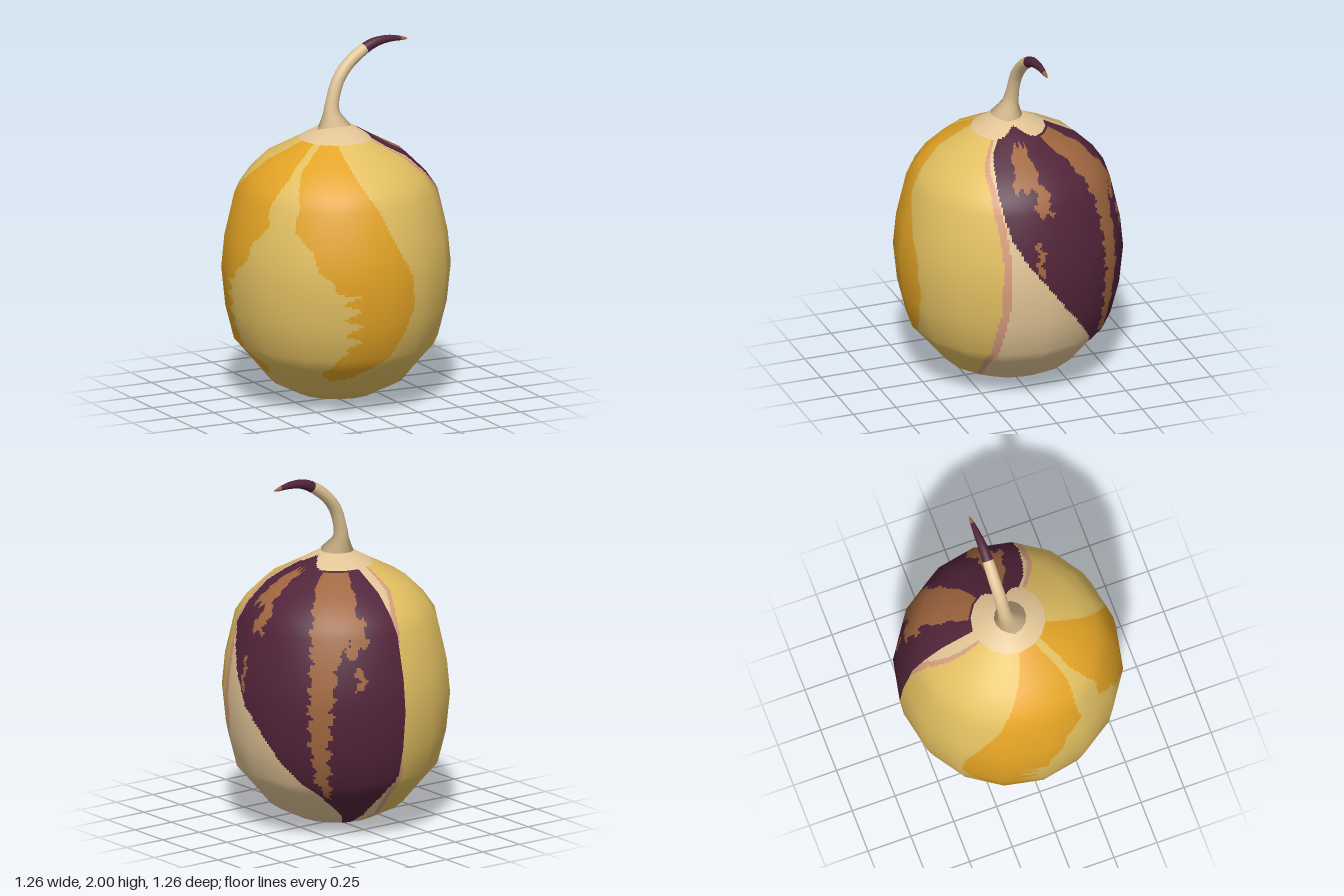
import * as THREE from 'three';

const mat = (name, color) => new THREE.MeshStandardMaterial({ name, color });

// Linear lookup in a short [y, value] table sorted by rising y
function at(table, y) {
  if (y <= table[0][0]) return table[0][1];
  for (let i = 1; i < table.length; i++) {
    const [y0, a] = table[i - 1], [y1, b] = table[i];
    if (y <= y1) return a + (b - a) * (y - y0) / (y1 - y0);
  }
  return table[table.length - 1][1];
}

// Body outline as [radius, y], bottom to top
const PROFILE = [[0, 0.004], [0.215, 0.047], [0.37, 0.125], [0.49, 0.27], [0.56, 0.35], [0.608, 0.54],
  [0.63, 0.755], [0.613, 0.935], [0.557, 1.18], [0.493, 1.275], [0.388, 1.378], [0.205, 1.475],
  [0.1, 1.535], [0, 1.55]];

// Colour borders: angle in degrees from the front, towards +x, at each height
const ORANGE_HIGH = [[0.2, -32], [0.227, -15], [0.33, 4], [0.464, 12.5], [0.62, 17.5], [0.8, 16],
  [0.99, 7], [1.2, -3], [1.39, -15], [1.47, -23]];
const ORANGE_LOW = [[0.2, -32], [0.25, -37], [0.29, -30], [0.38, -23], [0.4, -17], [0.72, -18],
  [0.75, -27], [0.8, -28], [0.86, -36], [0.966, -39], [1.07, -50], [1.2, -49], [1.36, -55], [1.45, -53]];
const PINK_EDGE = [[0.05, 31], [0.17, 46], [0.36, 60], [0.62, 66], [0.91, 67.4], [1.12, 63.7],
  [1.28, 58], [1.4, 48], [1.47, 43]];
const DARK_LOW = [[0.05, 151], [0.12, 148], [0.2, 140], [0.295, 130], [0.41, 117], [0.596, 102],
  [0.776, 89.5], [0.913, 79.7], [1.045, 72], [1.2, 66.7], [1.36, 59.5], [1.44, 52.5], [1.48, 52]];
const DARK_HIGH = [[0.05, 166], [0.13, 167], [0.25, 175], [0.4, 180]];
const BROWN_LOW = [[0.25, 138], [0.385, 131], [0.65, 129], [1.1, 129], [1.3, 127], [1.47, 122]];
const BROWN_HIGH = [[0.25, 140], [0.5, 139], [0.8, 141], [1.05, 144], [1.15, 149], [1.3, 157], [1.47, 160]];

const YELLOW = 0, ORANGE = 1, CREAM = 2, PINK = 3, DARK = 4, BROWN = 5;

// Brown flecks inside the dark patch: [angle low, angle high, y low, y high]
const FLECKS = [[74, 92, 1.29, 1.46], [87, 96, 1.17, 1.3], [85, 88, 0.83, 1.02], [151, 161, 1.14, 1.28],
  [149, 156, 1.08, 1.17], [154, 158, 0.9, 1.02]];

function bodyColour(angle, y, r) {
  let a = angle;
  while (a < -62) a += 360;
  while (a >= 298) a -= 360;
  if (y < 0.047) return DARK;
  const wobble = 1.2 * Math.sin(y * 61) + 0.8 * Math.sin(y * 143 + a * 0.3);
  const tongue = 0.09 * Math.exp(-(((a - 84) / 20) ** 2));
  if (r < 0.207 - tongue) return CREAM;
  if (a > at(DARK_LOW, y) && a < at(DARK_HIGH, y)) {
    if (y > 0.25 && y < 1.47 && a > at(BROWN_LOW, y) + wobble && a < at(BROWN_HIGH, y) + wobble) return BROWN;
    for (const [a0, a1, y0, y1] of FLECKS) {
      const lift = 0.012 * Math.sin(a * 0.9);
      if (a > a0 + wobble && a < a1 + wobble && y > y0 + lift && y < y1 + lift) return BROWN;
    }
    return DARK;
  }
  // The pale side is mirrored about one meridian
  const back = a > 121.75;
  const m = back ? 243.5 - a : a;
  const edge = back && y < 0.5 ? Math.max(at(PINK_EDGE, y), 61) : at(PINK_EDGE, y);
  if (m > edge + 4.5) return CREAM;
  if (m > edge) return PINK;
  const fingers = y > 0.39 && y < 0.73 ? 4.5 * Math.sin(y * 70 + 1) : 0;
  if (y > 0.205 && m < at(ORANGE_HIGH, y) && m > at(ORANGE_LOW, y) + fingers) return ORANGE;
  return YELLOW;
}

// Sixteen-sided smooth body, divided finely so the colour borders can follow their curves
function bodyGeometry() {
  const SIDES = 16, SUB = 18, cols = SIDES * SUB;
  const normals = PROFILE.map((p, i) => {
    if (i === 0) return [0, -1];
    if (i === PROFILE.length - 1) return [0, 1];
    const a = PROFILE[i - 1], b = PROFILE[i + 1];
    const l = Math.hypot(b[0] - a[0], b[1] - a[1]);
    return [(b[1] - a[1]) / l, -(b[0] - a[0]) / l];
  });
  const rows = [];
  for (let k = 0; k < PROFILE.length - 1; k++) {
    const p = PROFILE[k], q = PROFILE[k + 1];
    const n = Math.ceil(Math.hypot(q[0] - p[0], q[1] - p[1]) / 0.0145);
    for (let s = k ? 1 : 0; s <= n; s++) {
      const mix = (u, v) => u + (v - u) * s / n;
      rows.push({ r: mix(p[0], q[0]), y: mix(p[1], q[1]),
        nr: mix(normals[k][0], normals[k + 1][0]), ny: mix(normals[k][1], normals[k + 1][1]) });
    }
  }
  const pos = [], nor = [], v = new THREE.Vector3();
  for (const row of rows) {
    for (let i = 0; i <= cols; i++) {
      const side = Math.floor(i / SUB), t = (i % SUB) / SUB;
      const a0 = side / SIDES * Math.PI * 2, a1 = (side + 1) / SIDES * Math.PI * 2;
      const sx = Math.sin(a0) * (1 - t) + Math.sin(a1) * t;
      const cz = Math.cos(a0) * (1 - t) + Math.cos(a1) * t;
      pos.push(row.r * sx, row.y, row.r * cz);
      v.set(row.nr * sx, row.ny, row.nr * cz).normalize();
      nor.push(v.x, v.y, v.z);
    }
  }
  const faces = [[], [], [], [], [], []];
  for (let j = 0; j < rows.length - 1; j++) {
    const y = (rows[j].y + rows[j + 1].y) / 2, r = (rows[j].r + rows[j + 1].r) / 2;
    for (let i = 0; i < cols; i++) {
      const a = j * (cols + 1) + i, d = a + cols + 1;
      const list = faces[bodyColour((i + 0.5) / cols * 360, y, r)];
      if (rows[j].r > 0) list.push(a, a + 1, d + 1);
      else list.push(a, d + 1, d);
      if (rows[j].r > 0 && rows[j + 1].r > 0) list.push(a, d + 1, d);
    }
  }
  const geo = new THREE.BufferGeometry();
  geo.setAttribute('position', new THREE.Float32BufferAttribute(pos, 3));
  geo.setAttribute('normal', new THREE.Float32BufferAttribute(nor, 3));
  geo.setIndex(faces.flat());
  let start = 0;
  faces.forEach((f, k) => { geo.addGroup(start, f.length, k); start += f.length; });
  return geo;
}

// Curved stem: a tube whose rings are scaled to taper from a flared foot to a point
function stemGeometry() {
  const path = new THREE.CatmullRomCurve3([[-0.015, 1.53, 0], [-0.016, 1.62, -0.022], [0, 1.7, -0.03],
    [0.035, 1.79, -0.036], [0.095, 1.865, -0.042], [0.18, 1.93, -0.044], [0.26, 1.967, -0.046],
    [0.35, 1.978, -0.05], [0.467, 1.965, -0.054]].map(p => new THREE.Vector3(...p)));
  const RINGS = 48, SIDES = 14;
  const radius = [[0, 0.097], [0.05, 0.07], [0.11, 0.044], [0.2, 0.036], [0.6, 0.033], [0.72, 0.028],
    [0.85, 0.02], [0.97, 0.01], [1, 0.001]];
  const geo = new THREE.TubeGeometry(path, RINGS, 1, SIDES, false);
  const pos = geo.attributes.position, v = new THREE.Vector3();
  for (let i = 0; i <= RINGS; i++) {
    const c = path.getPointAt(i / RINGS), r = at(radius, i / RINGS);
    for (let j = 0; j <= SIDES; j++) {
      const k = i * (SIDES + 1) + j;
      v.fromBufferAttribute(pos, k).sub(c).multiplyScalar(r).add(c);
      pos.setXYZ(k, v.x, v.y, v.z);
    }
  }
  for (let i = 0; i < RINGS; i++) {
    const x = path.getPointAt((i + 0.5) / RINGS).x;
    geo.addGroup(i * SIDES * 6, SIDES * 6, x < 0.2 ? CREAM : x < 0.42 ? DARK : BROWN);
  }
  return geo;
}

export function createModel() {
  const colours = [mat('yellow skin', 0xe2bf61), mat('orange patch', 0xe3a325), mat('cream', 0xe2c596),
    mat('pink edge', 0xd59c7c), mat('dark purple', 0x52243a), mat('brown', 0xa0673f)];
  const model = new THREE.Group();
  model.name = 'gourd';
  const body = new THREE.Mesh(bodyGeometry(), colours);
  body.name = 'body';
  const stem = new THREE.Mesh(stemGeometry(), colours);
  stem.name = 'stem';
  model.add(body, stem);
  return model;
}
